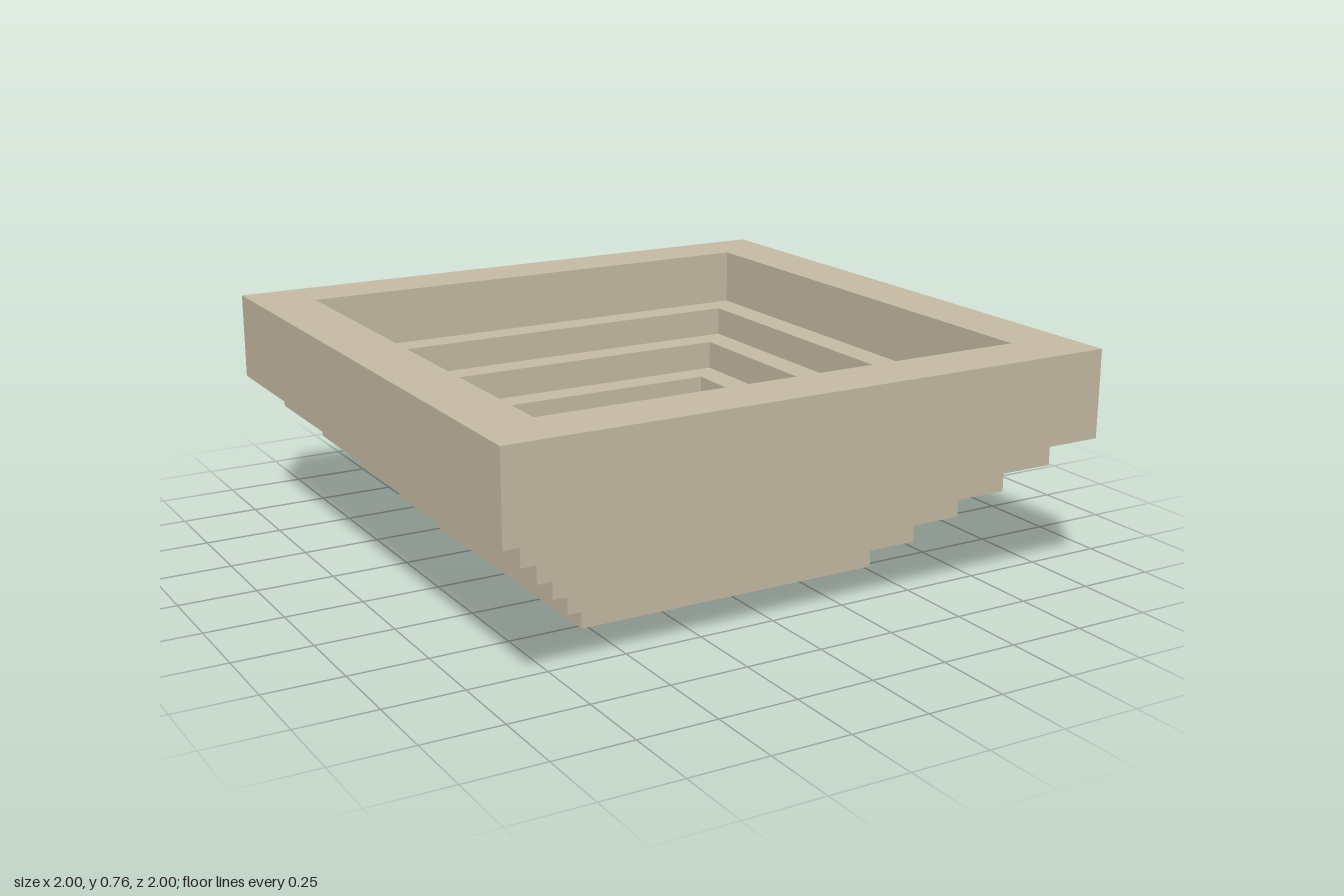
import * as THREE from 'three';

const STEP_Y = 0.0964; // height of one terrace
const STEP_X = 0.0956; // widening per terrace
const TOP = 0.762;

// Square, flat-faced shell swept from a profile of [half width, height] points
function squareShell(name, profile, material) {
  const points = profile.map(([half, y]) => new THREE.Vector2(half * Math.SQRT2, y));
  const geometry = new THREE.LatheGeometry(points, 4, Math.PI / 4).toNonIndexed();
  geometry.computeVertexNormals();
  const mesh = new THREE.Mesh(geometry, material);
  mesh.name = name;
  return mesh;
}

export function createModel() {
  const group = new THREE.Group();
  group.name = 'steppedBasin';
  const stone = new THREE.MeshStandardMaterial({ color: 0xc8bca6 });
  stone.name = 'sandstone';

  // Outside: flat base, five terraces and the tall top band
  const outer = [[0, 0]];
  for (let i = 0; i < 6; i++) {
    const half = 1 - (5 - i) * STEP_X;
    outer.push([half, i * STEP_Y], [half, i === 5 ? TOP : (i + 1) * STEP_Y]);
  }

  // Inside: tall upper wall, four terraces and the floor
  const inner = [];
  for (let i = 4; i >= 0; i--) {
    const half = 0.81 - (4 - i) * 0.095;
    inner.push([half, i === 4 ? TOP : (i + 3) * STEP_Y], [half, (i + 2) * STEP_Y]);
  }
  inner.push([0, 2 * STEP_Y]);

  group.add(
    squareShell('outerTerraces', outer, stone),
    squareShell('rim', [[1, TOP], [0.81, TOP]], stone),
    squareShell('innerTerraces', inner, stone),
  );
  return group;
}
